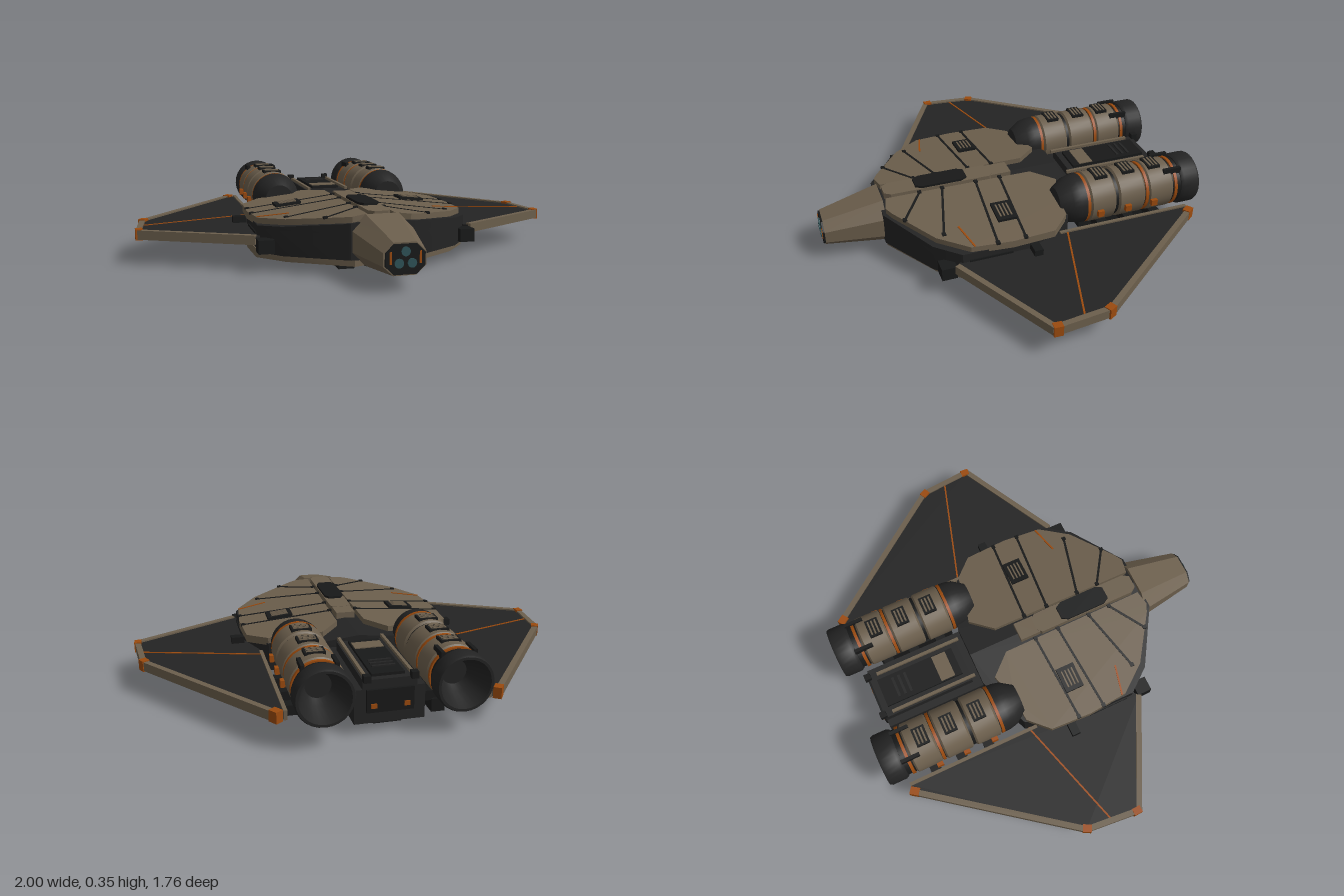
import * as THREE from 'three';
import { toCreasedNormals } from 'three/addons/utils/BufferGeometryUtils.js';

const material = (name, color) => {
  const m = new THREE.MeshStandardMaterial({ color });
  m.name = name;
  return m;
};

export function createModel() {
  const model = new THREE.Group();
  model.name = 'spacecraft';
  const tan = material('tan armour', 0x6b5e4c);
  const dark = material('dark hull', 0x232323);
  const black = material('black fittings', 0x181919);
  const orange = material('orange trim', 0x9a4a0e);
  const teal = material('teal lens', 0x2f5358);
  const under = material('wing underside', 0x1b2628);

  const add = (name, geo, mat) => {
    const mesh = new THREE.Mesh(toCreasedNormals(geo, 0.55), mat);
    mesh.name = name;
    model.add(mesh);
    return mesh;
  };
  const box = (name, mat, w, h, d, x, y, z) =>
    add(name, new THREE.BoxGeometry(w, h, d).translate(x, y, z), mat);

  // Horizontal slab from an x,z outline; slope lowers it away from the centre line
  const slab = (name, mat, pts, y0, y1, s = 1, slope = 0) => {
    const shape = new THREE.Shape(pts.map(([x, z]) => new THREE.Vector2(x * s, -z)));
    const geo = new THREE.ExtrudeGeometry(shape, { depth: y1 - y0, bevelEnabled: false });
    geo.rotateX(-Math.PI / 2).translate(0, y0, 0);
    const p = geo.attributes.position;
    for (let i = 0; i < p.count; i++) p.setY(i, p.getY(i) - slope * Math.abs(p.getX(i)));
    return add(name, geo, mat);
  };
  // Narrow slab running between two x,z points
  const strip = (name, mat, [ax, az], [bx, bz], w, y0, y1, s, slope = 0) => {
    const l = Math.hypot(bx - ax, bz - az), nx = -(bz - az) / l * w / 2, nz = (bx - ax) / l * w / 2;
    return slab(name, mat, [[ax + nx, az + nz], [bx + nx, bz + nz], [bx - nx, bz - nz], [ax - nx, az - nz]], y0, y1, s, slope);
  };
  // Turned part along z; profile points are [radius, z], rear to front
  const turned = (name, mat, pts, x, y) =>
    add(name, new THREE.LatheGeometry(pts.map(([r, z]) => new THREE.Vector2(r, z)), 28)
      .rotateX(Math.PI / 2).translate(x, y, 0), mat);
  const slope = 0.11, top = 0.273;

  // Nose: chamfered section tapering forwards
  const octagon = (w, y0, y1, c) => new THREE.Shape([
    [-w + c, y0], [w - c, y0], [w, y0 + c], [w, y1 - c], [w - c, y1], [-w + c, y1], [-w, y1 - c], [-w, y0 + c],
  ].map(([x, y]) => new THREE.Vector2(x, y)));
  const nose = new THREE.ExtrudeGeometry(octagon(0.138, 0.045, 0.267, 0.065), { depth: 0.28, bevelEnabled: false });
  const np = nose.attributes.position;
  for (let i = 0; i < np.count; i++) {
    const t = np.getZ(i) / 0.28;
    np.setX(i, np.getX(i) * (1 - 0.35 * t));
    np.setY(i, 0.156 + (np.getY(i) - 0.156) * (1 - 0.4 * t) - 0.021 * t);
  }
  add('nose', nose.translate(0, 0, 0.585), tan);
  add('noseFace', new THREE.ExtrudeGeometry(octagon(0.083, 0.074, 0.196, 0.035), { depth: 0.008, bevelEnabled: false })
    .translate(0, 0, 0.865), black);
  for (const [x, y] of [[0, 0.167], [-0.027, 0.12], [0.027, 0.12]])
    add('noseLens', new THREE.CylinderGeometry(0.019, 0.019, 0.008, 20).rotateX(Math.PI / 2).translate(x, y, 0.875), teal);

  // Centre spine, hatch and rear bay
  slab('spineStrip', tan, [[-0.03, 0.57], [0.03, 0.57], [0.05, 0.54], [0.05, 0.06], [0.03, 0.04], [-0.03, 0.04], [-0.05, 0.06], [-0.05, 0.54]], 0.24, 0.275);
  slab('topHatch', black, [[-0.03, 0.42], [0.03, 0.42], [0.047, 0.39], [0.047, 0.2], [0.03, 0.17], [-0.03, 0.17], [-0.047, 0.2], [-0.047, 0.39]], 0.27, 0.286);
  box('spineTail', tan, 0.09, 0.035, 0.1, 0, 0.256, 0);
  box('rearHull', dark, 0.3, 0.15, 0.75, 0, 0.125, -0.405);
  box('rearBay', dark, 0.23, 0.05, 0.44, 0, 0.215, -0.56);
  box('bayCover', black, 0.14, 0.014, 0.38, 0, 0.245, -0.56);
  box('bayPanel', tan, 0.13, 0.014, 0.07, 0, 0.249, -0.44);
  for (let i = 0; i < 3; i++) box('baySlat', dark, 0.1, 0.012, 0.012, 0, 0.252, -0.62 - i * 0.03);
  box('rearPlate', black, 0.2, 0.1, 0.014, 0, 0.15, -0.785);
  box('bellyKeel', black, 0.12, 0.03, 0.7, 0, 0.045, -0.4);

  // Belly sensor disc and probe
  add('bellySensor', new THREE.CylinderGeometry(0.06, 0.05, 0.04, 24).translate(0, 0.035, 0.44), black);
  add('bellyLens', new THREE.CylinderGeometry(0.036, 0.036, 0.006, 24).translate(0, 0.013, 0.44), teal);
  add('bellyProbe', new THREE.CylinderGeometry(0.006, 0.006, 0.05, 8).translate(0, 0.025, 0.23), black);

  for (const s of [1, -1]) {
    // Hull core
    const core = [[0, 0.6], [0.14, 0.6], [0.4, 0.44], [0.487, 0.33], [0.487, 0.02], [0.4, -0.2], [0.15, -0.3], [0, -0.3]];
    slab('hullSide', dark, core, 0.075, 0.185, s);
    slab('hullCrown', dark, core, 0.2, 0.247, s, slope);
    box('sidePanel', black, 0.01, 0.06, 0.2, s * 0.488, 0.13, 0.2);

    // Upper armour plate with panel grooves, studs and vent
    slab('upperPlate', tan, [[0.06, 0.57], [0.13, 0.585], [0.17, 0.565], [0.38, 0.42], [0.48, 0.29], [0.497, 0.1],
      [0.487, -0.1], [0.4, -0.19], [0.3, -0.2], [0.155, -0.24], [0.065, -0.14]], 0.238, top, s, slope);
    for (const [a, b] of [[[0.065, 0.015], [0.487, 0.04]], [[0.065, 0.135], [0.487, 0.17]], [[0.065, 0.3], [0.37, 0.38]], [[0.065, 0.41], [0.23, 0.52]]]) {
      strip('panelGroove', black, a, b, 0.011, top - 0.004, top + 0.002, s, slope);
      for (const [x, z] of [a, b]) strip('panelStud', black, [x, z - 0.009], [x, z + 0.009], 0.018, top - 0.004, top + 0.006, s, slope);
    }
    strip('plateStripe', orange, [0.34, 0.305], [0.48, 0.272], 0.008, top - 0.004, top + 0.003, s, slope);
    strip('plateVent', black, [0.305, 0.035], [0.305, 0.125], 0.12, top - 0.01, top + 0.012, s, slope);
    for (let i = 0; i < 4; i++)
      strip('ventSlat', tan, [0.265, 0.055 + i * 0.017], [0.345, 0.055 + i * 0.017], 0.007, top, top + 0.016, s, slope);

    // Lower armour plate and belly pods
    slab('lowerPlate', tan, [[0.025, 0.56], [0.12, 0.59], [0.38, 0.425], [0.49, 0.3], [0.495, 0.08], [0.4, -0.06], [0.22, -0.06], [0.025, 0.24]], 0.045, 0.085, s);
    strip('lowerGroove', black, [0.04, 0.33], [0.48, 0.3], 0.01, 0.043, 0.05, s);
    slab('bellyPod', dark, [[0.15, 0.31], [0.29, 0.31], [0.32, 0.27], [0.32, 0.06], [0.28, 0.02], [0.16, 0.02], [0.13, 0.06], [0.13, 0.27]], 0.02, 0.05, s);
    box('podHatch', black, 0.12, 0.014, 0.2, s * 0.225, 0.016, 0.165);
    box('bellyBlock', black, 0.07, 0.035, 0.13, s * 0.13, 0.032, 0.43);

    // Side fittings
    box('sidePod', black, 0.07, 0.06, 0.07, s * 0.465, 0.115, 0.395);
    box('sideKnob', black, 0.06, 0.03, 0.04, s * 0.52, 0.165, 0.0);
    box('noseSlit', orange, 0.008, 0.05, 0.008, s * 0.062, 0.142, 0.872);

    // Wing panel with tan rim, orange seam and corner caps
    const wing = [[0.43, -0.8], [0.47, -0.795], [0.96, -0.15], [0.985, 0.105], [0.5, 0.36], [0.43, 0.3]];
    slab('wingPanel', dark, wing, 0.126, 0.15, s);
    slab('wingUnderside', under, wing, 0.12, 0.126, s);
    for (let i = 1; i < 4; i++) strip('wingRim', tan, wing[i], wing[i + 1], 0.026, 0.115, 0.157, s);
    strip('wingRootRim', tan, [0.43, -0.8], [0.43, -0.15], 0.016, 0.115, 0.157, s);
    strip('wingSeam', orange, [0.42, -0.19], [0.965, -0.03], 0.008, 0.148, 0.153, s);
    strip('wingLowerSeam', orange, [0.42, -0.19], [0.965, -0.03], 0.008, 0.117, 0.122, s);
    strip('wingCap', orange, [0.455, -0.81], [0.48, -0.775], 0.036, 0.111, 0.161, s);
    strip('wingCap', orange, [0.948, -0.165], [0.966, -0.13], 0.034, 0.111, 0.161, s);
    strip('wingCap', orange, [0.984, 0.075], [0.982, 0.115], 0.032, 0.111, 0.161, s);

    // Engine: dome, armoured barrel, orange bands, hollow nozzle
    const x = s * 0.287, y = 0.222;
    turned('engineDome', dark, [[0.117, -0.3], [0.115, -0.27], [0.107, -0.235], [0.07, -0.18], [0, -0.18]], x, y);
    turned('engineCore', black, [[0.11, -0.79], [0.11, -0.28]], x, y);
    for (const [a, b] of [[-0.447, -0.315], [-0.597, -0.457], [-0.745, -0.612]])
      turned('engineArmour', tan, [[0.108, a], [0.119, a + 0.01], [0.119, b - 0.01], [0.108, b]], x, y);
    for (const z of [-0.307, -0.605, -0.757])
      turned('engineBand', orange, [[0.1, z - 0.007], [0.117, z - 0.007], [0.117, z + 0.007], [0.1, z + 0.007]], x, y);
    turned('engineNozzle', dark, [[0, -0.74], [0.055, -0.74], [0.075, -0.78], [0.107, -0.878], [0.118, -0.878],
      [0.123, -0.868], [0.123, -0.8], [0.115, -0.785], [0.1, -0.785]], x, y);
    for (const z of [-0.39, -0.53, -0.665]) {
      box('engineVent', black, 0.088, 0.014, 0.062, x, 0.338, z);
      for (let i = -1; i < 2; i++) box('engineSlat', tan, 0.07, 0.006, 0.008, x, 0.345, z + i * 0.017);
      box('engineClamp', orange, 0.02, 0.03, 0.03, s * 0.412, 0.2, z + 0.03);
      box('enginePylon', black, 0.32, 0.045, 0.05, s * 0.28, 0.1, z);
    }
    for (const d of [-0.07, 0.07]) box('nozzleBracket', black, 0.016, 0.03, 0.09, x + d, 0.318, -0.745);

    // Rear skid, bay rails and tail lights
    box('rearSkid', black, 0.06, 0.06, 0.38, s * 0.24, 0.057, -0.51);
    box('bayRail', tan, 0.014, 0.014, 0.42, s * 0.1, 0.246, -0.53);
    box('bayPost', black, 0.03, 0.03, 0.03, s * 0.1, 0.25, -0.785);
    box('tailLight', orange, 0.025, 0.02, 0.008, s * 0.07, 0.13, -0.793);
  }
  return model;
}
